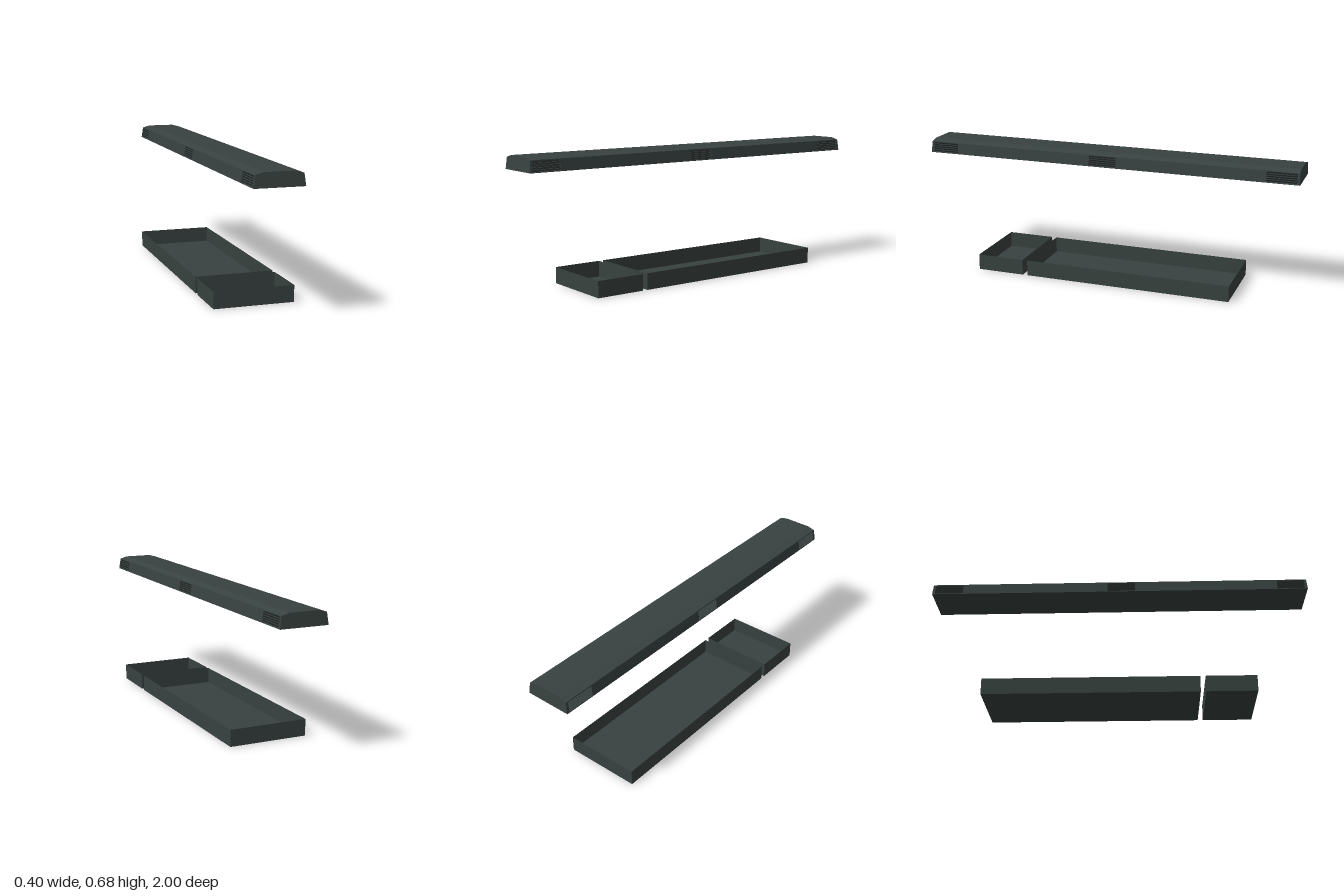
import * as THREE from 'three';

const BOTTOM = 0.613, SHOULDER = 0.672, TOP = 0.683;
const HALF_BOTTOM = 0.122, HALF_SHOULDER = 0.114, HALF_TOP = 0.073;

// half-width of the bar's sloping side at height y
const sideX = (y) =>
  HALF_BOTTOM + (HALF_SHOULDER - HALF_BOTTOM) * (y - BOTTOM) / (SHOULDER - BOTTOM);

// bar cross-section; louvred sections get undercut teeth in both sides
function barShape(louvred) {
  const right = [[HALF_BOTTOM, BOTTOM]];
  if (louvred) {
    const y0 = 0.617, y1 = 0.668, teeth = 5, step = (y1 - y0) / teeth;
    right.push([sideX(y0), y0]);
    for (let i = 0; i < teeth; i++) {
      const y = y0 + i * step;
      right.push([sideX(y) - 0.009, y + 0.0005], [sideX(y + step), y + step]);
    }
  }
  right.push([HALF_SHOULDER, SHOULDER], [HALF_TOP, TOP]);
  const left = right.map(([x, y]) => [-x, y]).reverse();
  return new THREE.Shape([...right, ...left].map(([x, y]) => new THREE.Vector2(x, y)));
}

function barSection(z0, z1, louvred) {
  const g = new THREE.ExtrudeGeometry(barShape(louvred), { depth: z1 - z0, bevelEnabled: false });
  g.translate(0, 0, z0);
  // end faces lean slightly inwards towards the top
  const p = g.attributes.position;
  for (let i = 0; i < p.count; i++) {
    const z = p.getZ(i);
    if (Math.abs(z) > 0.999) p.setZ(i, z * (1 - 0.005 * (p.getY(i) - BOTTOM) / (TOP - BOTTOM)));
  }
  g.computeVertexNormals();
  return g;
}

// thin-walled box without a lid
function trayGeometry(z0, z1) {
  const g = new THREE.BoxGeometry(0.404, 0.084, z1 - z0);
  const index = Array.from(g.index.array);
  index.splice(12, 6);
  g.setIndex(index);
  g.clearGroups();
  g.translate(0, 0.042, (z0 + z1) / 2);
  return g;
}

export function createModel() {
  const model = new THREE.Group();
  model.name = 'lightBarAndTrays';
  const darkGrey = new THREE.MeshStandardMaterial({ color: 0x384240, side: THREE.DoubleSide });
  darkGrey.name = 'darkGrey';

  const add = (parent, name, geometry) => {
    const mesh = new THREE.Mesh(geometry, darkGrey);
    mesh.name = name;
    parent.add(mesh);
  };

  // long overhead bar: plain lengths alternating with louvred ones
  const bar = new THREE.Group();
  bar.name = 'overheadBar';
  const cuts = [-1, -0.985, -0.835, -0.06, 0.085, 0.84, 0.985, 1];
  for (let i = 0; i < cuts.length - 1; i++) {
    const louvred = i % 2 === 1;
    add(bar, louvred ? 'louvredSection' : 'plainSection', barSection(cuts[i], cuts[i + 1], louvred));
  }
  model.add(bar);

  // open trays below
  add(model, 'frontTray', trayGeometry(0.437, 0.695));
  add(model, 'rearTray', trayGeometry(-0.69, 0.41));
  return model;
}
